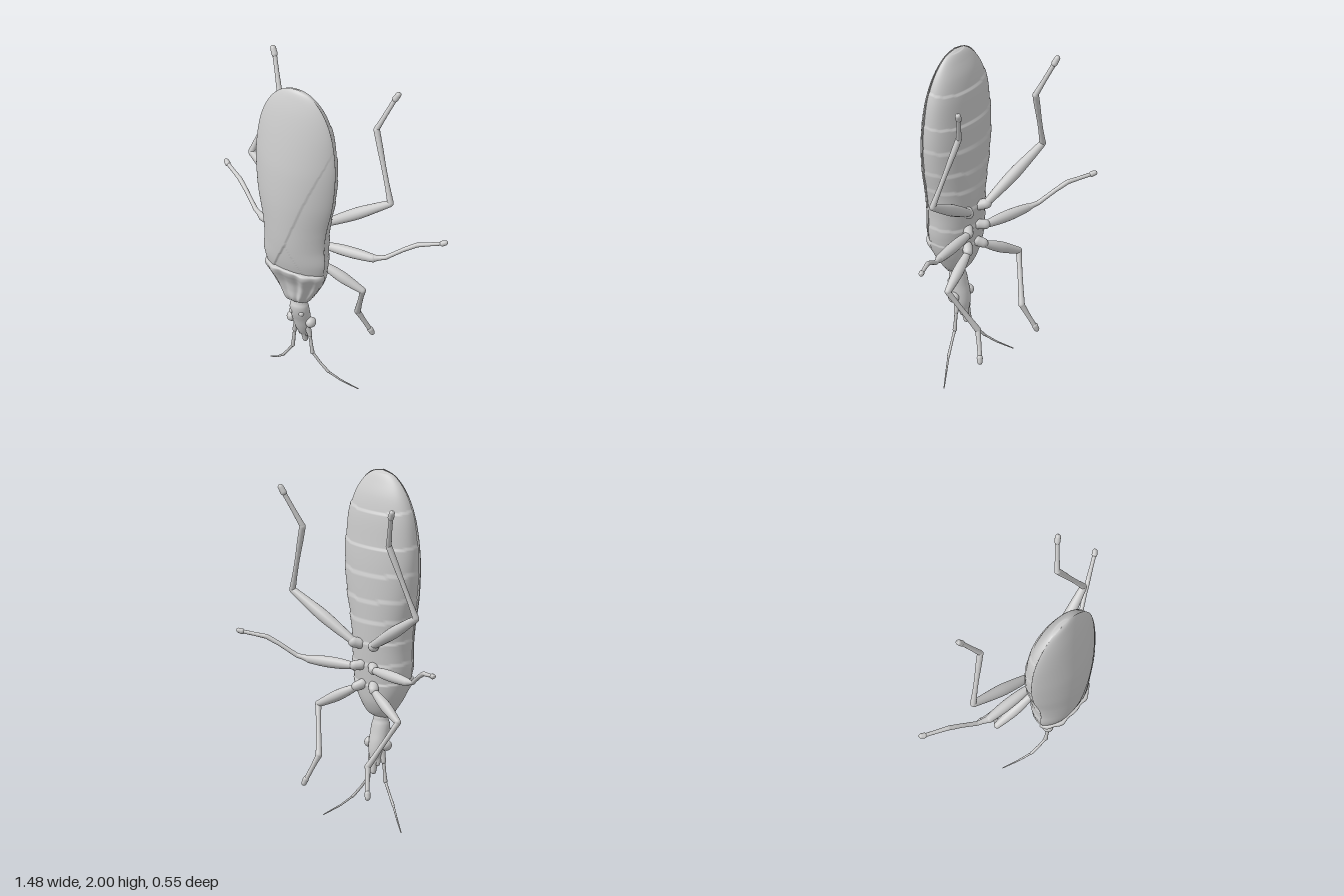
import * as THREE from 'three';

const material = new THREE.MeshStandardMaterial({ color: 0xcccccc, side: THREE.DoubleSide });
const V = (x, y, z) => new THREE.Vector3(x, y, z);

function add(parent, name, geometry) {
  const mesh = new THREE.Mesh(geometry, material);
  mesh.name = name;
  parent.add(mesh);
  return mesh;
}

// Surface from a rule f(u, v) -> Vector3, u across and v along
function surface(nu, nv, f) {
  const pos = [], idx = [];
  for (let j = 0; j <= nv; j++)
    for (let i = 0; i <= nu; i++) pos.push(...f(i / nu, j / nv).toArray());
  for (let j = 0; j < nv; j++)
    for (let i = 0; i < nu; i++) {
      const a = j * (nu + 1) + i, b = a + nu + 1;
      idx.push(a, a + 1, b, a + 1, b + 1, b);
    }
  const g = new THREE.BufferGeometry();
  g.setAttribute('position', new THREE.Float32BufferAttribute(pos, 3));
  g.setIndex(idx);
  g.computeVertexNormals();
  return g;
}

// Stations of [half width, y, z of the ridge line]
const stations = (rows) => new THREE.CatmullRomCurve3(rows.map((r) => V(...r)), false, 'centripetal');

// Piecewise linear lookup in [key, value] pairs
function lookup(pairs, k) {
  for (let i = 1; i < pairs.length; i++) {
    const [a, p] = pairs[i - 1], [b, q] = pairs[i];
    if (k <= b) return p + (q - p) * THREE.MathUtils.clamp((k - a) / (b - a), 0, 1);
  }
  return pairs[pairs.length - 1][1];
}
const bump = (x, c, s) => Math.exp(-(((x - c) / s) ** 2));
const edgeZ = (y) => lookup([[0.58, 0.11], [0.7, 0.14], [0.85, 0.155], [1.1, 0.155], [1.4, 0.145], [1.8, 0.135], [2, 0.13]], y);

// Folded wings: arched shell with an overlap step and a small triangular plate
function wingGeometry() {
  const spine = stations([[0.18, 0.82, 0.228], [0.2, 0.9, 0.248], [0.196, 1, 0.263], [0.208, 1.12, 0.272], [0.245, 1.3, 0.276],
    [0.261, 1.48, 0.266], [0.258, 1.6, 0.25], [0.235, 1.75, 0.222], [0.193, 1.86, 0.195], [0.14, 1.935, 0.17], [0.08, 1.98, 0.15], [0, 2, 0.13]]);
  const seam = [[0.82, -0.105], [1.02, 0], [1.35, 0.125], [1.6, 0.225], [1.72, 0.262]];
  return surface(90, 150, (u, v) => {
    const p = spine.getPoint(v), e = edgeZ(p.y);
    if (u === 0 || u === 1) return V((u ? -0.93 : 0.93) * p.x, p.y, e + 0.004);
    const t = Math.PI * (u * 90 - 1) / 88, s = Math.max(0, Math.sin(t));
    const x = p.x * Math.cos(t);
    let z = e + (p.z - e) * s ** 1.5;
    if (p.y < 1.72 && x > lookup(seam, p.y)) z -= 0.005 * s;
    if (Math.abs(x) < (1.03 - p.y) * 0.5) z -= 0.003;
    return V(x, p.y, z);
  });
}

// Underside of thorax and abdomen, with overlapping segment plates
function bodyGeometry() {
  const keel = stations([[0.04, 0.59, 0.085], [0.08, 0.615, 0.05], [0.125, 0.68, 0.018], [0.165, 0.76, 0.004], [0.187, 0.86, -0.004],
    [0.19, 1, -0.01], [0.2, 1.12, -0.012], [0.234, 1.3, -0.012], [0.25, 1.48, -0.006], [0.246, 1.6, 0.004], [0.224, 1.75, 0.02],
    [0.183, 1.86, 0.045], [0.13, 1.935, 0.078], [0.07, 1.98, 0.105], [0, 1.995, 0.13]]);
  const cuts = [0.6, 0.8, 0.91, 1.035, 1.16, 1.28, 1.43, 1.58, 1.78, 2.05];
  return surface(48, 220, (u, v) => {
    const p = keel.getPoint(v), t = Math.PI * u, s = Math.sin(t), e = edgeZ(p.y);
    const y = p.y + 0.025 * s - 0.02;
    const i = Math.max(1, cuts.findIndex((c) => c > y));
    const step = 0.007 * THREE.MathUtils.clamp((y - cuts[i - 1]) / (cuts[i] - cuts[i - 1]), 0, 1);
    const k = p.x > 0.06 ? step : 0;
    return V((p.x + k * 0.6) * Math.cos(t), p.y, e - (e - p.z + k) * Math.max(0, s) ** 0.8);
  });
}

// Collar shield with two long ridges and hollows between them
function shieldGeometry() {
  const spine = stations([[0.03, 0.588, 0.135], [0.07, 0.6, 0.163], [0.088, 0.63, 0.18], [0.12, 0.68, 0.184], [0.148, 0.73, 0.194],
    [0.172, 0.775, 0.215], [0.19, 0.815, 0.236], [0.186, 0.838, 0.24], [0.172, 0.848, 0.215]]);
  return surface(64, 50, (u, v) => {
    const p = spine.getPoint(v), t = Math.PI * u, s = Math.max(0, Math.sin(t)), r = Math.abs(Math.cos(t));
    const e = edgeZ(p.y) - 0.012, fade = Math.sin(Math.PI * v);
    const relief = fade * (0.013 * bump(r, 0.52, 0.13) - 0.01 * bump(r, 0.26, 0.12) - 0.009 * bump(r, 0.78, 0.1));
    return V(p.x * Math.cos(t), p.y - 0.012 * r * v, e + (p.z - e) * s ** 0.8 + relief);
  });
}

// Limb piece from a to b, with radii spread evenly along it and round ends
function bone(parent, name, a, b, radii) {
  const A = V(...a), B = V(...b), len = A.distanceTo(B), n = radii.length - 1;
  const r0 = radii[0], r1 = radii[n], prof = [];
  const along = new THREE.SplineCurve(radii.map((r, i) => new THREE.Vector2(r, len * i / n)));
  for (let i = 0; i < 4; i++) prof.push(new THREE.Vector2(r0 * Math.sin(i * Math.PI / 8), -r0 * Math.cos(i * Math.PI / 8)));
  prof.push(...along.getPoints(n * 5));
  for (let i = 3; i >= 0; i--) prof.push(new THREE.Vector2(r1 * Math.sin(i * Math.PI / 8), len + r1 * Math.cos(i * Math.PI / 8)));
  const mesh = add(parent, name, new THREE.LatheGeometry(prof, 16));
  mesh.position.copy(A);
  mesh.quaternion.setFromUnitVectors(V(0, 1, 0), B.sub(A).normalize());
}

function ball(parent, name, p, r, sx = 1, sy = 1, sz = 1) {
  const mesh = add(parent, name, new THREE.SphereGeometry(r, 24, 16));
  mesh.position.set(...p);
  mesh.scale.set(sx, sy, sz);
}

// Each limb is a list of [piece, start, end, radii] for the +x side
const limbs = {
  hindLeg: [
    ['hip', [0.05, 1.02, -0.005], [0.075, 1.03, -0.035], [0.03, 0.03]],
    ['thigh', [0.08, 1.04, -0.04], [0.455, 1.27, -0.108], [0.022, 0.03, 0.034, 0.028, 0.02]],
    ['shin', [0.46, 1.275, -0.11], [0.322, 1.675, -0.18], [0.018, 0.014, 0.014, 0.017, 0.018]],
    ['foot', [0.322, 1.68, -0.182], [0.4, 1.87, -0.25], [0.016, 0.013, 0.013]],
    ['toe', [0.4, 1.87, -0.25], [0.415, 1.9, -0.258], [0.018, 0.016]],
  ],
  middleLeg: [
    ['hip', [0.04, 0.9, 0], [0.07, 0.895, -0.03], [0.029, 0.028]],
    ['thigh', [0.08, 0.893, -0.033], [0.365, 0.888, -0.078], [0.02, 0.028, 0.031, 0.029, 0.023]],
    ['shin', [0.365, 0.888, -0.078], [0.43, 0.902, -0.105], [0.022, 0.015, 0.013]],
    ['shin', [0.43, 0.902, -0.105], [0.52, 0.962, -0.152], [0.013, 0.012, 0.012]],
    ['shin', [0.52, 0.962, -0.152], [0.585, 0.998, -0.185], [0.012, 0.013, 0.013]],
    ['foot', [0.585, 0.998, -0.185], [0.71, 1.018, -0.25], [0.013, 0.011, 0.011]],
    ['toe', [0.71, 1.018, -0.25], [0.725, 1.023, -0.26], [0.016, 0.014]],
  ],
  frontLeg: [
    ['hip', [0.04, 0.79, 0.005], [0.065, 0.775, -0.022], [0.029, 0.027]],
    ['thigh', [0.075, 0.765, -0.025], [0.295, 0.645, -0.078], [0.02, 0.028, 0.031, 0.026, 0.019]],
    ['shin', [0.295, 0.64, -0.08], [0.182, 0.395, -0.2], [0.017, 0.014, 0.015, 0.018]],
    ['foot', [0.182, 0.395, -0.2], [0.228, 0.26, -0.255], [0.017, 0.013, 0.013]],
    ['toe', [0.23, 0.26, -0.255], [0.237, 0.238, -0.262], [0.017, 0.015]],
  ],
  antenna: [
    ['base', [0.035, 0.4, 0.08], [0.05, 0.345, 0.077], [0.018, 0.013]],
    ['joint', [0.05, 0.345, 0.077], [0.064, 0.235, 0.075], [0.01, 0.009, 0.012]],
    ['feeler', [0.064, 0.235, 0.075], [0.105, 0.175, 0.062], [0.008, 0.007]],
    ['feeler', [0.105, 0.175, 0.062], [0.15, 0.118, 0.045], [0.007, 0.008]],
    ['feeler', [0.15, 0.118, 0.045], [0.21, 0.062, 0.008], [0.006, 0.005]],
    ['feeler', [0.21, 0.062, 0.008], [0.288, 0.005, -0.043], [0.005, 0.003]],
  ],
};

// Head: closed loft of [half width, y, z centre] with its own depth rule
function headGeometry() {
  const spine = stations([[0.03, 0.62, 0.11], [0.042, 0.59, 0.108], [0.046, 0.572, 0.109], [0.054, 0.55, 0.109], [0.057, 0.5, 0.1],
    [0.054, 0.45, 0.085], [0.048, 0.4, 0.074], [0.034, 0.355, 0.066], [0.022, 0.33, 0.06], [0, 0.322, 0.06]]);
  return surface(32, 50, (u, v) => {
    const p = spine.getPoint(v), t = 2 * Math.PI * u;
    return V(p.x * Math.cos(t), p.y, p.z + p.x * 0.85 * Math.sin(t));
  });
}

export function createModel() {
  const model = new THREE.Group();
  model.name = 'insect';
  add(model, 'foldedWings', wingGeometry());
  add(model, 'abdomenAndThorax', bodyGeometry());
  add(model, 'collarShield', shieldGeometry());

  const head = new THREE.Group();
  head.name = 'head';
  model.add(head);
  add(head, 'skull', headGeometry());
  bone(head, 'beak', [0, 0.37, 0.062], [0, 0.285, 0.047], [0.026, 0.02, 0.015]);

  for (const s of [1, -1]) {
    const side = s > 0 ? 'left' : 'right';
    ball(head, side + 'Eye', [s * 0.062, 0.438, 0.086], 0.03, 0.95, 1, 1.1);
    ball(head, side + 'SmallEye', [s * 0.032, 0.513, 0.137], 0.015);
    bone(head, side + 'Cheek', [s * 0.02, 0.4, 0.075], [s * 0.021, 0.33, 0.06], [0.025, 0.012]);
    for (const [name, pieces] of Object.entries(limbs)) {
      const limb = new THREE.Group();
      limb.name = side + name[0].toUpperCase() + name.slice(1);
      model.add(limb);
      for (const [piece, a, b, radii] of pieces)
        bone(limb, piece, [s * a[0], a[1], a[2]], [s * b[0], b[1], b[2]], radii);
    }
  }
  return model;
}
